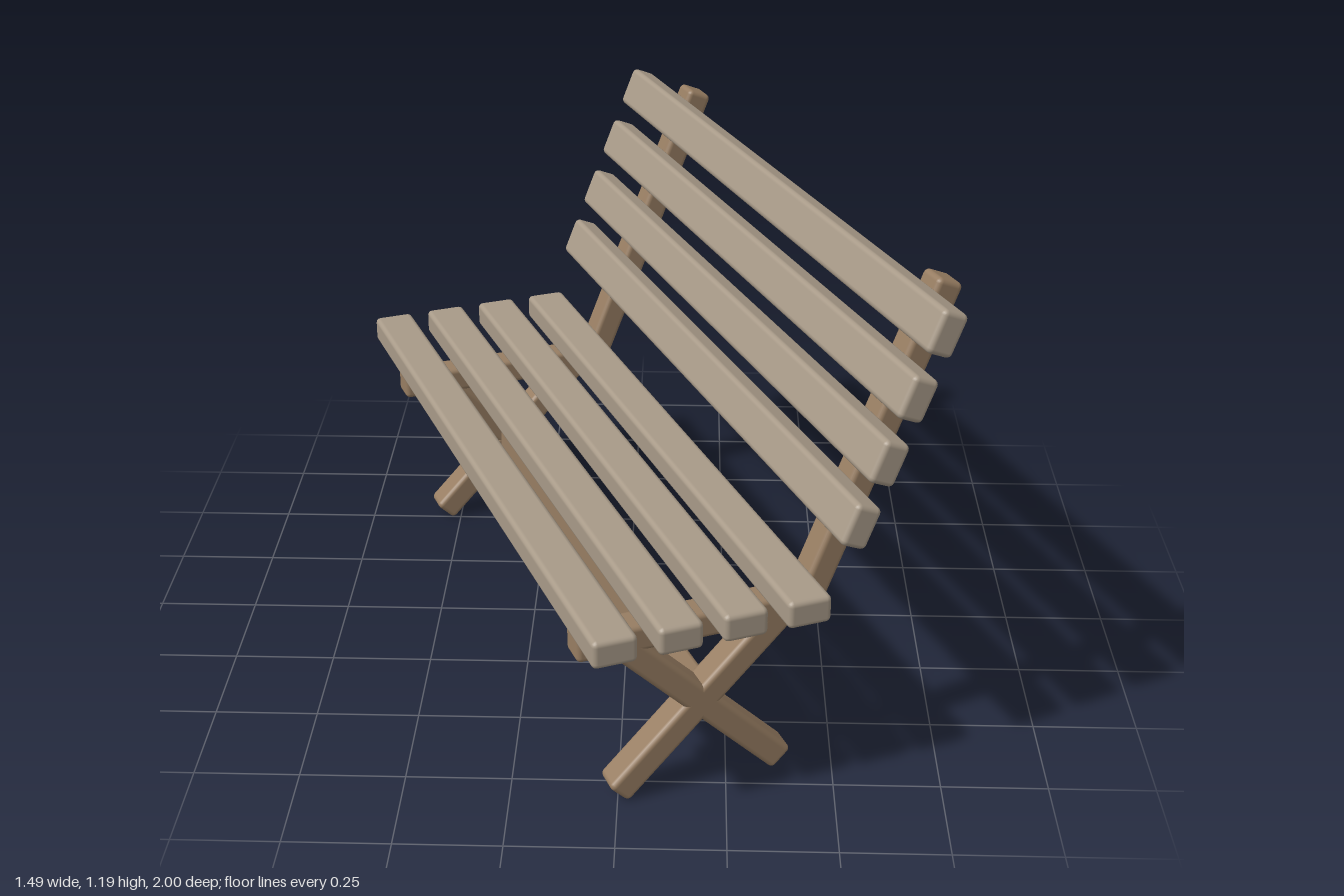
import * as THREE from 'three';
import { RoundedBoxGeometry } from 'three/addons/geometries/RoundedBoxGeometry.js';

const YAW = 0.391;   // the bench stands turned on the ground
const LEAN = 0.391;  // backrest lean from vertical
const slatWood = new THREE.MeshStandardMaterial({ color: 0xa89a88 });
const frameWood = new THREE.MeshStandardMaterial({ color: 0x977d62 });

// Bench space: +x runs to the back, z runs along the slats.
function bar(parent, name, size, pos, material, tilt = 0) {
  const mesh = new THREE.Mesh(new RoundedBoxGeometry(...size, 2, 0.013), material);
  mesh.name = name;
  mesh.position.set(...pos);
  mesh.rotation.z = tilt;
  parent.add(mesh);
  return mesh;
}

export function createModel() {
  const model = new THREE.Group();
  model.name = 'bench';
  const bench = new THREE.Group();
  bench.name = 'benchBody';
  bench.rotation.y = YAW;
  model.add(bench);

  // Four seat slats and four backrest slats
  for (let i = 0; i < 4; i++) {
    bar(bench, 'seatSlat', [0.105, 0.068, 1.845], [-0.37 + i * 0.153, 0.501, -0.017], slatWood);
    bar(bench, 'backSlat', [0.066, 0.103, 1.845],
      [0.192 + i * 0.0593, 0.7075 + i * 0.1433, 0.006], slatWood, -LEAN);
  }

  // Two side frames: seat beam, leaning post and crossed legs
  for (const side of [-1, 1]) {
    const frame = new THREE.Group();
    frame.name = side > 0 ? 'leftFrame' : 'rightFrame';
    frame.position.z = 0.02 + side * 0.715;
    bench.add(frame);
    bar(frame, 'seatBeam', [0.57, 0.067, 0.077], [-0.127, 0.434, 0], frameWood);
    bar(frame, 'backPost', [0.067, 0.835, 0.077], [0.301, 0.8, 0], frameWood, -LEAN);
    for (const lean of [-1, 1]) {
      bar(frame, 'crossLeg', [0.067, 0.58, 0.077], [-0.108, 0.225, 0], frameWood, lean * Math.PI / 4);
    }
  }

  // Stretcher joining the leg crossings
  bar(bench, 'stretcher', [0.067, 0.067, 1.39], [-0.108, 0.231, 0.02], frameWood);

  return model;
}
